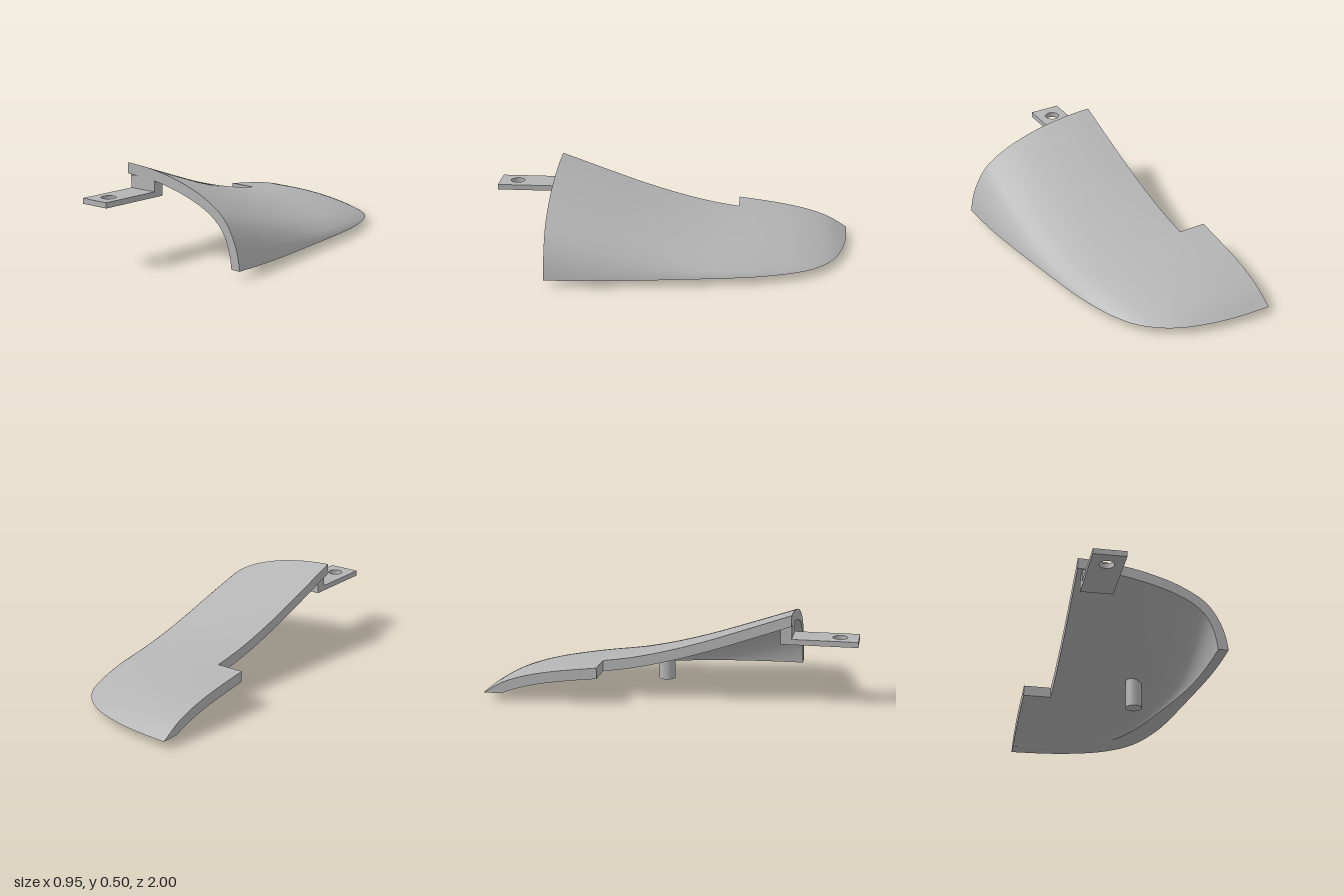
import * as THREE from 'three';
import { toCreasedNormals } from 'three/addons/utils/BufferGeometryUtils.js';

const LEFT = -0.475, STEP = -0.32, NOTCH_Z = -0.37, BASE = 0.04;

// Smooth lookup through a few points; axis 0 gives y from x, axis 1 gives x from y
function lookup(points, axis = 0) {
  const curve = new THREE.CatmullRomCurve3(points.map(p => new THREE.Vector3(p[0], p[1], 0)), false, 'centripetal');
  const pts = curve.getPoints(600).map(p => (axis ? [p.y, p.x] : [p.x, p.y]));
  return v => {
    if (v <= pts[0][0]) return pts[0][1];
    for (let i = 1; i < pts.length; i++) {
      const [a, fa] = pts[i - 1], [b, fb] = pts[i];
      if (v <= b) return fa + (fb - fa) * (v - a) / (b - a || 1);
    }
    return pts[pts.length - 1][1];
  };
}

// Crest height along z, and a slight widening of the middle
const crest = lookup([[-1, 0.04], [-0.9, 0.1], [-0.8, 0.137], [-0.7, 0.162], [-0.6, 0.18], [-0.5, 0.194],
  [-0.35, 0.213], [-0.2, 0.238], [0, 0.287], [0.2, 0.348], [0.4, 0.418], [0.65, 0.508]]);
const widen = lookup([[-1, 1], [-0.9, 1.01], [-0.8, 1.03], [-0.6, 1.045], [-0.4, 1.055], [0, 1.023], [0.65, 1]]);

// Drop of the cross-section below its crest, for the outer and inner skins
const skin = (points, offset) => ({
  drop: lookup(points), reach: lookup(points, 1), offset,
  maxX: points[points.length - 1][0], maxDrop: points[points.length - 1][1],
});
const outerSkin = skin([[-0.475, 0], [-0.32, 0.003], [-0.2, 0.011], [-0.1, 0.024], [0, 0.043], [0.1, 0.07], [0.2, 0.106],
  [0.3, 0.158], [0.36, 0.203], [0.4, 0.253], [0.43, 0.308], [0.45, 0.358], [0.465, 0.418], [0.472, 0.468]], 0);
const innerSkin = skin([[-0.475, 0], [-0.32, 0.003], [-0.12, 0.02], [0, 0.043], [0.1, 0.07], [0.2, 0.106], [0.28, 0.148],
  [0.34, 0.198], [0.375, 0.248], [0.395, 0.298], [0.41, 0.358], [0.417, 0.408]], 0.06);

const TAB_COLS = 4, MAIN_COLS = 36;

// One row of points across the skin at a given z, ending on the base plane
function row(s, z) {
  const h = Math.max(0, crest(z) - s.offset - BASE);
  const reach = s.reach(h) - LEFT;
  const width = reach * widen(z);
  const edge = LEFT + width;
  const blend = THREE.MathUtils.clamp(z + 0.9, 0, 0.5);
  const points = [];
  for (let j = 0; j <= TAB_COLS + MAIN_COLS; j++) {
    const t = (j - TAB_COLS) / MAIN_COLS;
    let x = j <= TAB_COLS
      ? LEFT + (STEP - LEFT) * j / TAB_COLS
      : STEP + (edge - STEP) * Math.sin(t * Math.PI / 2);
    x = edge < STEP ? Math.min(x, edge) : x;
    const f = width > 1e-6 ? (x - LEFT) / width : 0;
    const moved = s.drop(LEFT + f * reach);
    const scaled = s.drop(LEFT + f * (s.maxX - LEFT)) * h / s.maxDrop;
    const y = BASE + h - moved * (1 - blend) - scaled * blend;
    points.push(new THREE.Vector3(x, Math.max(BASE, y), z));
  }
  return points;
}

function shellGeometry() {
  const zs = [];
  const frontRows = 24, backRows = 44;
  for (let i = 0; i < frontRows; i++) zs.push(0.65 + (NOTCH_Z - 0.65) * i / frontRows);
  for (let i = 0; i <= backRows; i++) zs.push(NOTCH_Z - (1 + NOTCH_Z) * Math.sin(i / backRows * Math.PI / 2));
  const outer = zs.map(z => row(outerSkin, z));
  const inner = zs.map(z => row(innerSkin, z));
  const last = TAB_COLS + MAIN_COLS;
  const positions = [];
  const area = new THREE.Triangle();
  const tri = (a, b, c) => {
    if (area.set(a, b, c).getArea() < 1e-9) return;
    for (const p of [a, b, c]) positions.push(p.x, p.y, p.z);
  };
  const quad = (a, b, c, d) => { tri(a, b, c); tri(a, c, d); };

  for (let i = 0; i < zs.length - 1; i++) {
    const first = i < frontRows ? TAB_COLS : 0;
    const [o, p, n, m] = [outer[i], outer[i + 1], inner[i], inner[i + 1]];
    for (let j = first; j < last; j++) {
      quad(o[j], o[j + 1], p[j + 1], p[j]);
      quad(n[j + 1], n[j], m[j], m[j + 1]);
    }
    quad(o[last], n[last], m[last], p[last]);     // bottom rim
    quad(n[first], o[first], p[first], m[first]); // left edge
  }
  // Front edge, and the step beside the notch
  const cap = (i, from, to) => {
    for (let j = from; j < to; j++) quad(outer[i][j], inner[i][j], inner[i][j + 1], outer[i][j + 1]);
  };
  cap(0, TAB_COLS, last);
  cap(frontRows, 0, TAB_COLS);

  const geometry = new THREE.BufferGeometry();
  geometry.setAttribute('position', new THREE.Float32BufferAttribute(positions, 3));
  return toCreasedNormals(geometry, 0.6);
}

export function createModel() {
  const model = new THREE.Group();
  model.name = 'curvedCover';
  const grey = new THREE.MeshStandardMaterial({ color: 0xb4b4b4 });
  grey.name = 'light grey';
  const add = (name, geometry, x = 0, y = 0, z = 0) => {
    const mesh = new THREE.Mesh(geometry, grey);
    mesh.name = name;
    mesh.position.set(x, y, z);
    model.add(mesh);
  };

  add('coverShell', shellGeometry());

  // Mounting tang with a screw hole
  const plate = new THREE.Shape([[-0.297, 0.59], [-0.123, 0.59], [-0.123, 1], [-0.297, 1]]
    .map(p => new THREE.Vector2(...p)));
  plate.holes.push(new THREE.Path().absarc(-0.21, 0.9, 0.04, 0, Math.PI * 2, true));
  const tang = new THREE.ExtrudeGeometry(plate, { depth: 0.03, bevelEnabled: false, curveSegments: 32 });
  tang.rotateX(Math.PI / 2);
  add('mountingTang', tang, 0, 0.37, 0);

  // Block joining the tang to the underside of the shell
  add('tangBlock', new THREE.BoxGeometry(0.174, 0.07, 0.06), -0.21, 0.405, 0.62);

  // Locating peg under the shell
  add('locatingPeg', new THREE.CylinderGeometry(0.046, 0.046, 0.165, 40), 0.115, 0.0825, -0.097);

  return model;
}
